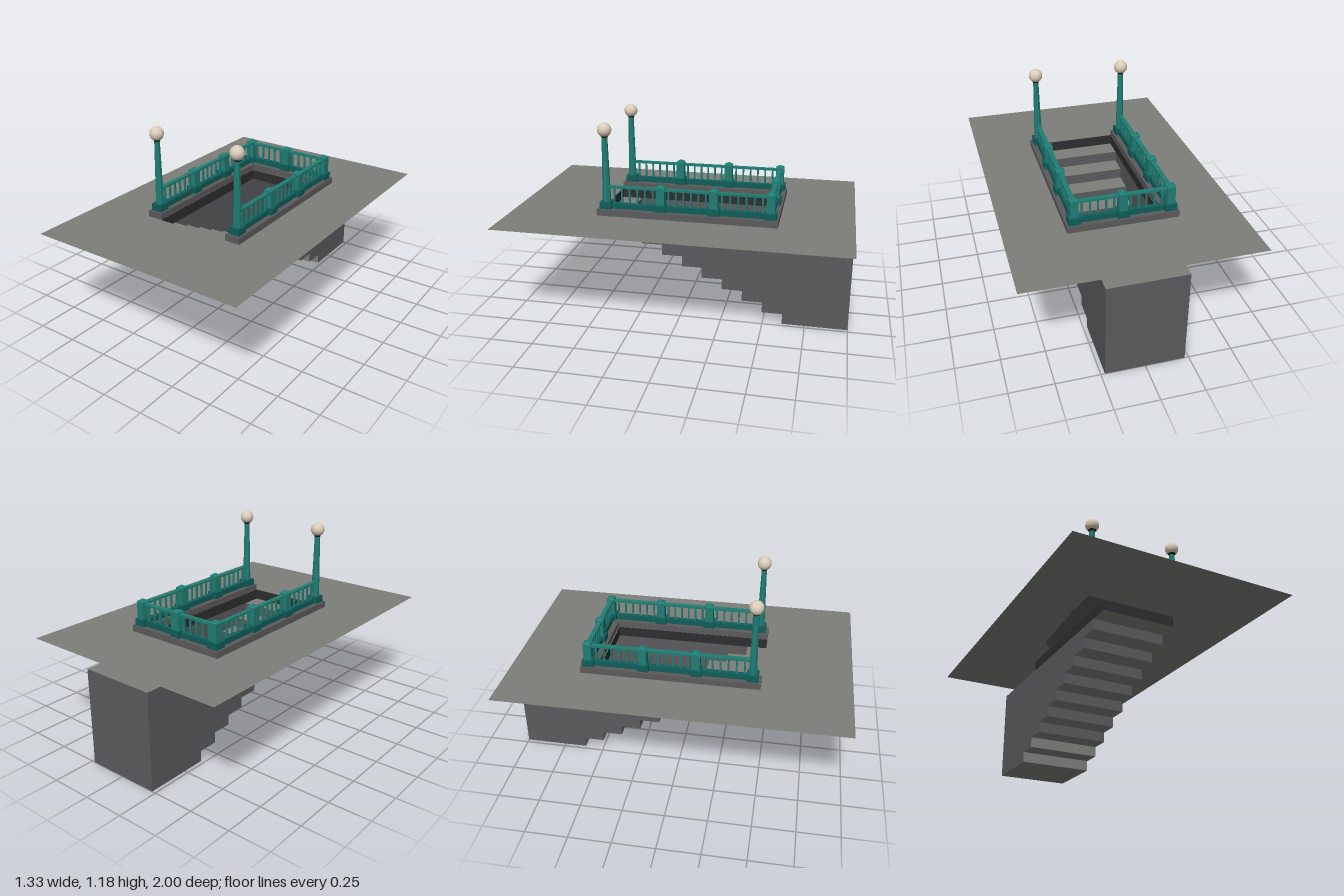
import * as THREE from 'three';

const mat = (name, color, double) => {
  const m = new THREE.MeshStandardMaterial({ color });
  m.name = name;
  if (double) m.side = THREE.DoubleSide;
  return m;
};

export function createModel() {
  const root = new THREE.Group();
  root.name = 'stairwayEntrance';
  const concrete = mat('concrete', 0x7d7d79, true);
  const wall = mat('wallGrey', 0x5b5a5d, true);
  const dark = mat('darkGrey', 0x2e2d2f, true);
  const curbMat = mat('curbGrey', 0x5c5a5b);
  const teal = mat('teal', 0x1f7d73);
  const deepTeal = mat('deepTeal', 0x0f5d59);
  const black = mat('black', 0x1b1b1b);
  const cream = mat('cream', 0xd9ccb9);

  const add = (name, geo, material, x = 0, y = 0, z = 0, parent = root) => {
    const mesh = new THREE.Mesh(geo, material);
    mesh.name = name;
    mesh.position.set(x, y, z);
    parent.add(mesh);
    return mesh;
  };
  const box = (name, w, h, d, m, x, y0, z, parent) =>
    add(name, new THREE.BoxGeometry(w, h, d), m, x, y0 + h / 2, z, parent);

  const G = 0.64, HW = 0.227, FRONT = 0.48, BACK = -0.475;
  const RISE = 0.064, RUN = 0.1217, CEIL = G - RISE;

  // Pavement sheet with the stair opening
  const ground = new THREE.Shape([[-0.665, -1], [0.665, -1], [0.665, 1], [-0.665, 1]]
    .map(p => new THREE.Vector2(...p)));
  ground.holes.push(new THREE.Path([[-HW, -FRONT], [-HW, -BACK], [HW, -BACK], [HW, -FRONT]]
    .map(p => new THREE.Vector2(...p))));
  add('pavement', new THREE.ShapeGeometry(ground).rotateX(-Math.PI / 2), concrete, 0, G, 0);

  // Horizontal and upright sheets spanning the passage
  const level = (name, y, z0, z1, m) =>
    add(name, new THREE.PlaneGeometry(2 * HW, z0 - z1).rotateX(-Math.PI / 2), m, 0, y, (z0 + z1) / 2);
  const upright = (name, z, y0, y1, m) =>
    add(name, new THREE.PlaneGeometry(2 * HW, y1 - y0), m, 0, (y0 + y1) / 2, z);

  // Dark lining around the opening
  upright('liningFront', FRONT, CEIL, G, dark);
  upright('liningBack', BACK, CEIL, G, dark);
  for (const s of [-1, 1]) {
    add('liningSide', new THREE.PlaneGeometry(FRONT - BACK, RISE).rotateY(s * Math.PI / 2), dark,
      s * HW, CEIL + RISE / 2, (FRONT + BACK) / 2);
  }

  // Steps going down to the landing, collecting the side wall outline
  const outline = [new THREE.Vector2(-1, CEIL)];
  for (let i = 0; i < 10; i++) {
    const y = CEIL - i * RISE;
    const z0 = FRONT - i * RUN;
    const z1 = i === 9 ? -1 : z0 - RUN;
    level('tread', y, z0, z1, concrete);
    if (i > 0) {
      upright('riser', z0, y, y + RISE, i > 7 ? concrete : wall);
      outline.push(new THREE.Vector2(z0, y + RISE), new THREE.Vector2(z0, y));
    }
  }
  outline.push(new THREE.Vector2(-1, 0));
  for (const s of [-1, 1]) {
    add('passageSideWall', new THREE.ShapeGeometry(new THREE.Shape(outline)).rotateY(-Math.PI / 2),
      wall, s * HW, 0, 0);
  }
  upright('passageEndWall', -1, 0, CEIL, wall);
  level('passageCeiling', CEIL, BACK, -1, concrete);

  // U-shaped curb
  const TOP = 0.678, CX = 0.274, CZ = -0.53;
  for (const s of [-1, 1]) box('curbSide', 0.092, TOP - G, 1.055, curbMat, s * 0.274, G, -0.0475);
  box('curbBack', 2 * 0.228, TOP - G, 0.095, curbMat, 0, G, -0.5275);

  // Square pedestal with a hipped cap
  const pedestal = (x, z) => {
    const g = new THREE.Group();
    g.name = 'pedestal';
    g.position.set(x, TOP, z);
    root.add(g);
    box('pedestalBase', 0.068, 0.04, 0.068, deepTeal, 0, 0, 0, g);
    box('pedestalBody', 0.048, 0.104, 0.048, teal, 0, 0.04, 0, g);
    const cap = new THREE.CylinderGeometry(0.008, 0.036, 0.014, 4).rotateY(Math.PI / 4).toNonIndexed();
    cap.computeVertexNormals();
    add('pedestalCap', cap, teal, 0, 0.151, 0, g);
  };

  // Tapered lamp post with a globe
  const lamp = (x, z) => {
    const g = new THREE.Group();
    g.name = 'lampPost';
    g.position.set(x, TOP, z);
    root.add(g);
    box('lampBase', 0.068, 0.042, 0.068, deepTeal, 0, 0, 0, g);
    const shaft = new THREE.CylinderGeometry(0.0165, 0.025, 0.385, 8).rotateY(Math.PI / 8).toNonIndexed();
    shaft.computeVertexNormals();
    add('lampShaft', shaft, teal, 0, 0.042 + 0.1925, 0, g);
    add('lampCollar', new THREE.CylinderGeometry(0.036, 0.015, 0.028, 16), black, 0, 0.434, 0, g);
    add('lampGlobe', new THREE.SphereGeometry(0.041, 24, 16), cream, 0, 0.465, 0, g);
  };

  // Railing bay between two posts
  const bay = (x0, z0, x1, z1, count) => {
    const g = new THREE.Group();
    g.name = 'railing';
    const len = Math.hypot(x1 - x0, z1 - z0);
    g.position.set((x0 + x1) / 2, TOP, (z0 + z1) / 2);
    g.rotation.y = Math.abs(x1 - x0) > 0.01 ? 0 : Math.PI / 2;
    root.add(g);
    box('bottomRail', len, 0.032, 0.03, deepTeal, 0, 0, 0, g);
    box('topRail', len, 0.012, 0.028, teal, 0, 0.124, 0, g);
    const clear = len - 0.048;
    for (let i = 0; i < count; i++) {
      box('baluster', 0.01, 0.094, 0.01, teal, ((i + 0.5) / count - 0.5) * clear, 0.031, 0, g);
    }
  };

  const stops = [0.43, 0.105, -0.205, CZ];
  for (const s of [-1, 1]) {
    const x = s * CX;
    lamp(x, stops[0]);
    for (let i = 1; i < 4; i++) {
      pedestal(x, stops[i]);
      bay(x, stops[i - 1], x, stops[i], 6);
    }
    bay(0, CZ, x, CZ, 5);
  }
  pedestal(0, CZ);

  return root;
}
